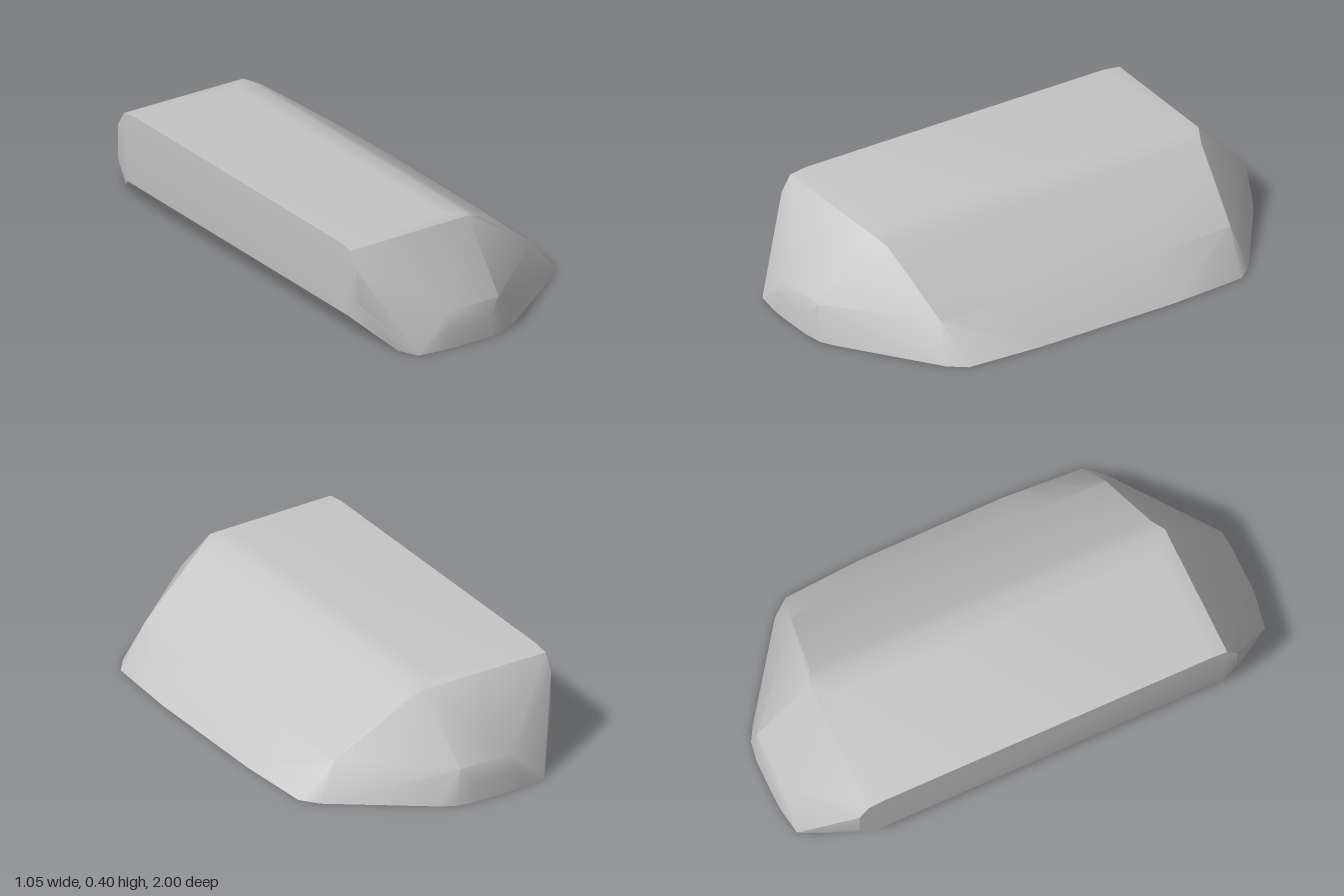
import * as THREE from 'three';
import { toCreasedNormals } from 'three/addons/utils/BufferGeometryUtils.js';
import { ConvexGeometry } from 'three/addons/geometries/ConvexGeometry.js';

export function createModel() {
  const group = new THREE.Group();
  group.name = 'chamferedBlock';
  const grey = new THREE.MeshStandardMaterial({ color: 0xc5c5c5 });
  grey.name = 'light stone grey';

  // Corner points of one half (z > 0), listed ring by ring
  const half = [
    // base outline
    [-0.415, 0, 0.9], [-0.375, 0, 0.98], [-0.27, 0, 0.997], [-0.2, 0, 1], [-0.05, 0, 0.998],
    [0.03, 0, 0.985], [0.09, 0, 0.95], [0.45, 0, 0.69], [0.505, 0, 0.62], [0.525, 0, 0.3],
    // rounded shoulder above the base
    [-0.25, 0.08, 0.994], [-0.05, 0.08, 0.992],
    [-0.23, 0.145, 0.978], [0.0, 0.145, 0.975], [0.37, 0.15, 0.66], [0.385, 0.147, 0.3],
    // upright back face
    [-0.53, 0.115, 0.73], [-0.53, 0.19, 0.79], [-0.53, 0.33, 0.79],
    // top rim and plateau
    [-0.53, 0.393, 0.75], [0.02, 0.391, 0.745], [0.085, 0.36, 0.715],
    [-0.53, 0.403, 0.68], [-0.06, 0.402, 0.68], [0.025, 0.394, 0.68]
  ];

  // Mirror front to back and wrap the faceted shell around the points
  const points = half.flatMap(([x, y, z]) => [
    new THREE.Vector3(x, y, z), new THREE.Vector3(x, y, -z)
  ]);
  const body = new THREE.Mesh(toCreasedNormals(new ConvexGeometry(points), 0.58), grey);
  body.name = 'body';
  group.add(body);
  return group;
}
